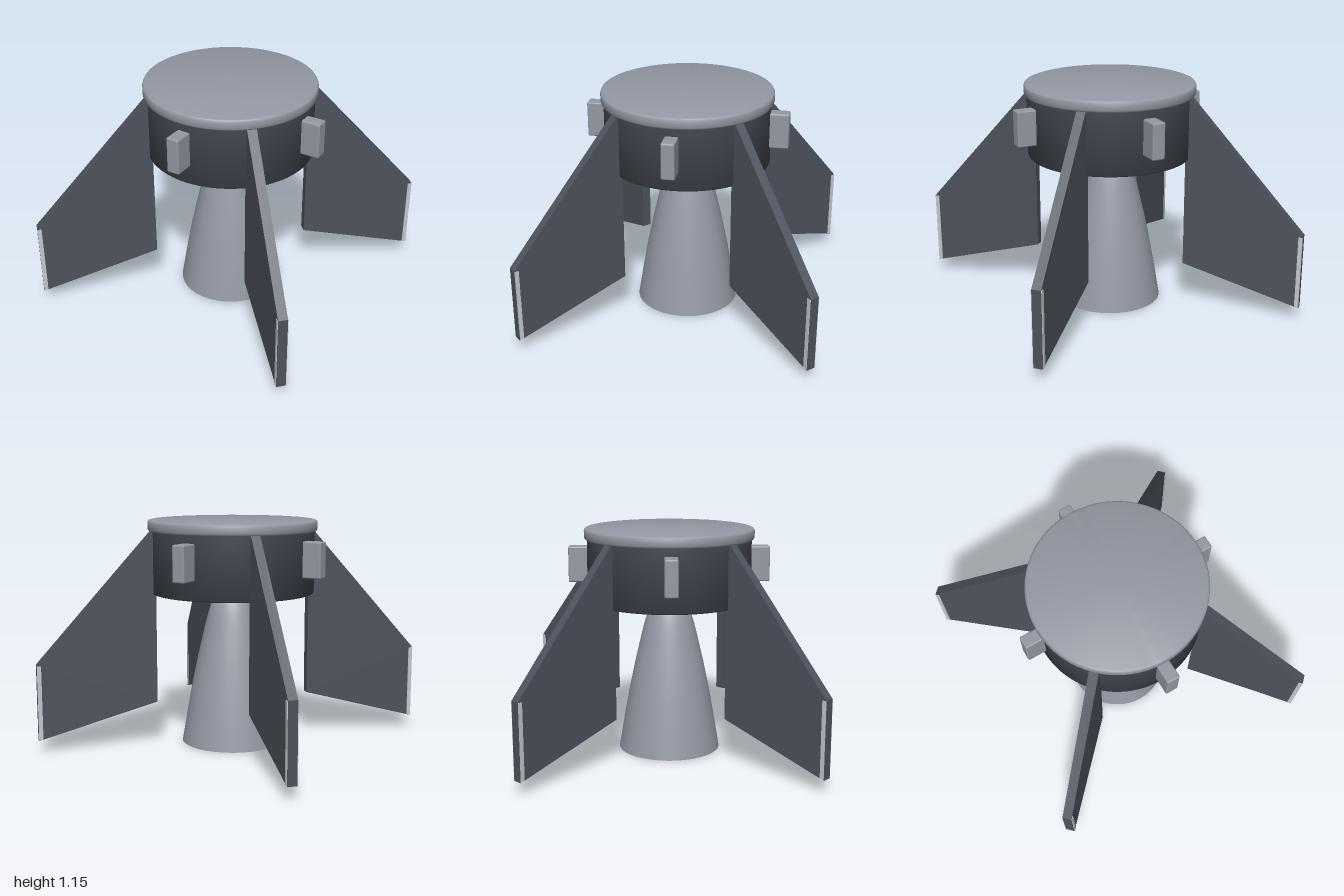
import * as THREE from 'three';
import { toCreasedNormals } from 'three/addons/utils/BufferGeometryUtils.js';
import { RoundedBoxGeometry } from 'three/addons/geometries/RoundedBoxGeometry.js';

const mat = (name, color, side = THREE.FrontSide) => {
  const m = new THREE.MeshStandardMaterial({ color, side });
  m.name = name;
  return m;
};

const part = (name, geometry, material) => {
  const mesh = new THREE.Mesh(geometry, material);
  mesh.name = name;
  return mesh;
};

// Slab cut from an outline in the xy plane, centred on z = 0
function slab(points, thickness) {
  const shape = new THREE.Shape(points.map(([x, y]) => new THREE.Vector2(x, y)));
  return new THREE.ExtrudeGeometry(shape, { depth: thickness, bevelEnabled: false })
    .translate(0, 0, -thickness / 2);
}

const lathe = (points) =>
  new THREE.LatheGeometry(points.map(([r, y]) => new THREE.Vector2(r, y)), 64);

export function createModel() {
  const group = new THREE.Group();
  group.name = 'finAssembly';

  const hullDark = mat('hullDark', 0x434952);
  const finGrey = mat('finGrey', 0x4d535d);
  const metal = mat('lightMetal', 0x9399a3);
  const tipMetal = mat('tipMetal', 0xc4c9d0);
  const nozzleMetal = mat('nozzleMetal', 0x949aa5, THREE.DoubleSide);
  const glow = mat('nozzleGlow', 0xe8a246);

  // Cylindrical body with softened lower edge
  const body = lathe([[0, 0.777], [0.408, 0.777], [0.415, 0.784], [0.415, 1.1]]);
  group.add(part('body', toCreasedNormals(body, 0.9), hullDark));

  // Top collar with a rounded rim
  const collar = lathe([
    [0, 1.09], [0.417, 1.09], [0.425, 1.093], [0.429, 1.101],
    [0.429, 1.135], [0.425, 1.143], [0.417, 1.146], [0, 1.146],
  ]);
  group.add(part('topCollar', toCreasedNormals(collar, 0.9), metal));

  // Bell nozzle
  const bell = [
    [0.26, 0], [0.235, 0.15], [0.208, 0.3], [0.177, 0.45], [0.142, 0.6],
    [0.124, 0.67], [0.106, 0.725], [0.085, 0.76], [0.062, 0.785],
  ];
  group.add(part('nozzle', lathe(bell), nozzleMetal));

  // Nozzle exit disc
  const disc = part('nozzleExit', new THREE.CircleGeometry(0.258, 64).rotateX(Math.PI / 2), glow);
  disc.position.y = 0.002;
  group.add(disc);

  // Four fins with light tip edges, and four blocks between them
  const finShape = slab([[0.4, 0.23], [1, 0.065], [1, 0.445], [0.42, 1.095], [0.4, 1.095]], 0.046);
  const tipShape = slab([[0.978, 0.073], [0.999, 0.067], [0.999, 0.443], [0.978, 0.443]], 0.052);
  const blockShape = new RoundedBoxGeometry(0.14, 0.18, 0.066, 2, 0.008).translate(0.438, 0.963, 0);

  for (let i = 0; i < 4; i++) {
    const fin = new THREE.Group();
    fin.name = 'fin' + (i + 1);
    fin.add(part('finPlate', finShape, finGrey), part('finTip', tipShape, tipMetal));
    fin.rotation.y = i * Math.PI / 2;

    const block = part('sideBlock' + (i + 1), blockShape, metal);
    block.rotation.y = (i + 0.5) * Math.PI / 2;
    group.add(fin, block);
  }
  return group;
}
